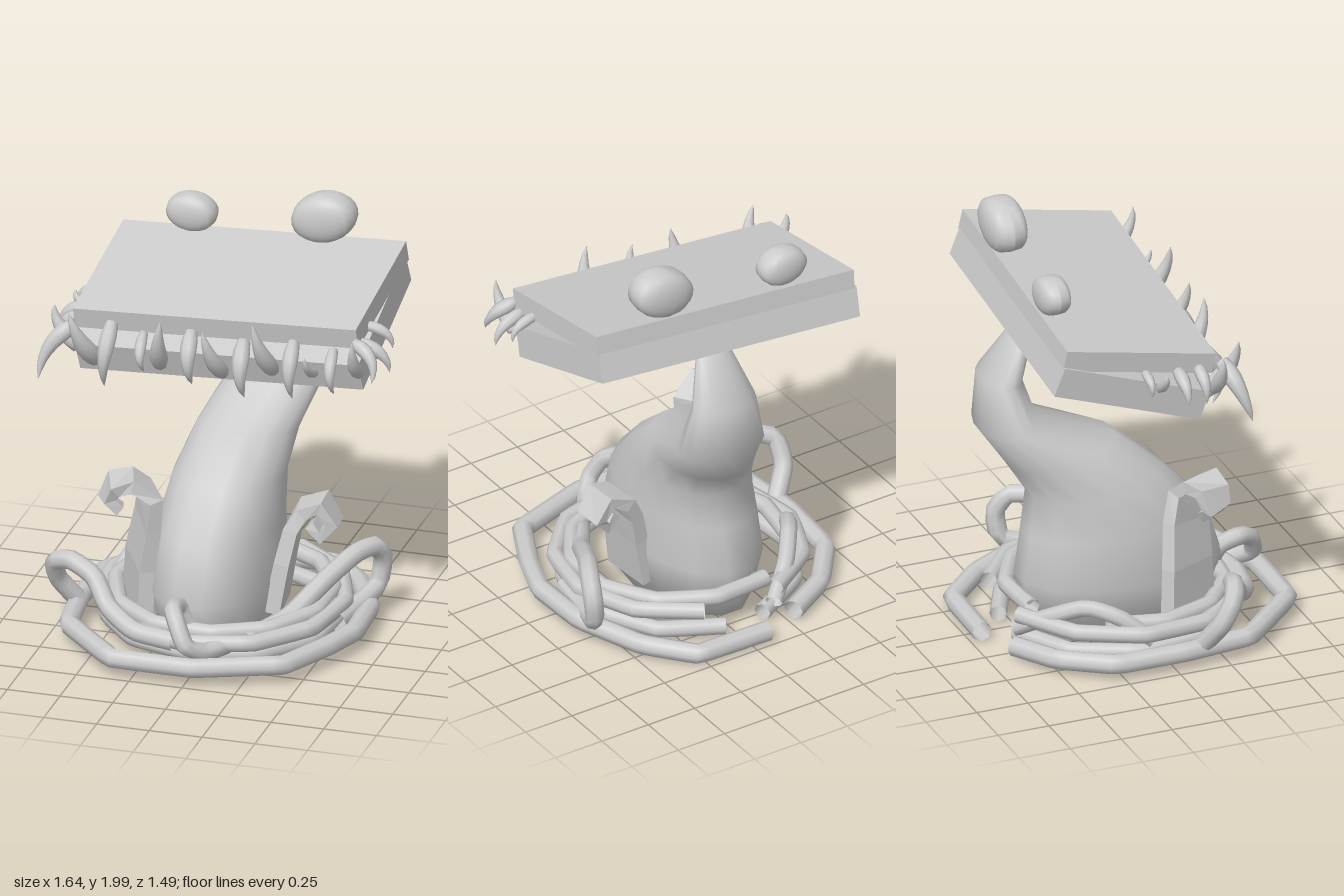
import * as THREE from 'three';

const V = (x, y, z) => new THREE.Vector3(x, y, z);
const smooth = new THREE.MeshStandardMaterial({ color: 0xcccccc, side: THREE.DoubleSide });
const faceted = new THREE.MeshStandardMaterial({ color: 0xcccccc, side: THREE.DoubleSide, flatShading: true });

// Skin over closed rings of points, both ends capped
function loft(rings) {
  const n = rings[0].length, pos = [], idx = [];
  const centre = ring => ring.reduce((s, p) => s.add(p), V(0, 0, 0)).divideScalar(n);
  const all = [rings[0].map(() => centre(rings[0])), ...rings, rings[0].map(() => centre(rings.at(-1)))];
  all.forEach(ring => ring.forEach(p => pos.push(p.x, p.y, p.z)));
  for (let i = 0; i < all.length - 1; i++) {
    for (let j = 0; j < n; j++) {
      const k = (j + 1) % n, a = i * n + j, b = i * n + k, c = a + n, d = b + n;
      idx.push(a, c, d, a, d, b);
    }
  }
  const g = new THREE.BufferGeometry();
  g.setAttribute('position', new THREE.Float32BufferAttribute(pos, 3));
  g.setIndex(idx);
  g.computeVertexNormals();
  return g;
}

// Sweep an elliptical or square section along points; size(t) gives [half width, half thickness]
function sweep(points, across, sides, size) {
  const last = points.length - 1;
  return loft(points.map((p, i) => {
    const T = points[Math.min(i + 1, last)].clone().sub(points[Math.max(i - 1, 0)]).normalize();
    const W = across.clone().addScaledVector(T, -across.dot(T)).normalize();
    const N = W.clone().cross(T);
    const [w, h] = size(i / last);
    return Array.from({ length: sides }, (_, j) => {
      const a = (j + 0.5) / sides * Math.PI * 2;
      return p.clone().addScaledVector(W, Math.cos(a) * w).addScaledVector(N, Math.sin(a) * h);
    });
  }));
}

export function createModel() {
  const model = new THREE.Group();
  const add = (name, geometry, material = smooth, parent = model) => {
    const m = new THREE.Mesh(geometry, material);
    m.name = name;
    parent.add(m);
    return m;
  };

  // Bent body: front z, front y, back z, back y, min x, max x of each ring
  const bodyRings = [
    [0.42, 0.03, -0.47, 0.03, -0.3, 0.2],
    [0.47, 0.26, -0.52, 0.28, -0.36, 0.23],
    [0.39, 0.53, -0.485, 0.5, -0.335, 0.22],
    [0.2, 0.73, -0.455, 0.68, -0.3, 0.215],
    [-0.04, 0.93, -0.54, 0.82, -0.24, 0.23],
    [-0.39, 1.05, -0.665, 1.01, -0.165, 0.275],
    [-0.465, 1.26, -0.65, 1.26, -0.11, 0.22],
    [-0.4, 1.49, -0.5, 1.47, -0.04, 0.13],
    [-0.42, 1.52, -0.46, 1.51, 0, 0.09],
  ].map(([fz, fy, bz, by, x0, x1]) => Array.from({ length: 14 }, (_, j) => {
    const a = j / 14 * Math.PI * 2, c = Math.cos(a), s = Math.sin(a);
    return V((x0 + x1) / 2 + c * (x1 - x0) / 2, (fy + by) / 2 + s * (fy - by) / 2, (fz + bz) / 2 + s * (fz - bz) / 2);
  }));
  add('body', loft(bodyRings));

  // Two slab jaws, opening towards the front
  const jaw = (name, thickness, depth, y, z, pitch) => {
    const m = add(name, new THREE.BoxGeometry(1.36, thickness, depth), faceted);
    m.position.set(0.005, y, z);
    m.rotation.set(pitch, -0.037, 0.066, 'YZX');
  };
  jaw('upperJaw', 0.1, 0.735, 1.625, -0.145, 0.19);
  jaw('lowerJaw', 0.145, 0.75, 1.472, -0.18, 0.335);

  // Eyes with flattened front and back, on the rear of the upper jaw
  const eyeShape = new THREE.SphereGeometry(1, 18, 12);
  const ep = eyeShape.attributes.position;
  for (let i = 0; i < ep.count; i++) ep.setZ(i, Math.sign(ep.getZ(i)) * Math.abs(ep.getZ(i)) ** 0.55);
  eyeShape.computeVertexNormals();
  const eye = (name, x, y, z, sx, sy, sz, roll) => {
    const m = add(name, eyeShape);
    m.position.set(x, y, z);
    m.scale.set(sx, sy, sz);
    m.rotation.z = roll;
  };
  eye('rightEye', -0.32, 1.815, -0.455, 0.12, 0.088, 0.075, -0.08);
  eye('leftEye', 0.315, 1.88, -0.43, 0.155, 0.114, 0.095, 0.25);

  // Curved fangs
  const teeth = new THREE.Group();
  teeth.name = 'teeth';
  model.add(teeth);
  const tooth = (base, tip, bulge, r) => {
    const mid = base.clone().lerp(tip, 0.45).add(bulge);
    const pts = new THREE.QuadraticBezierCurve3(base, mid, tip).getPoints(7);
    const across = tip.clone().sub(base).cross(bulge).normalize();
    add('tooth', sweep(pts, across, 8, t => {
      const s = r * Math.max(0.02, Math.min(1, 0.75 + t * 1.5) * Math.min(1, 1.25 * Math.sqrt(1 - t) * (1 - t * t * 0.4)));
      return [s, s];
    }), smooth, teeth);
  };
  // Front fangs: x at base, x at tip, base y, tip y, radius
  [
    [-0.58, -0.67, 1.32, 1.59, 0.045], [-0.27, -0.23, 1.34, 1.61, 0.042],
    [0.03, -0.03, 1.34, 1.59, 0.04], [0.27, 0.21, 1.39, 1.66, 0.042],
    [0.47, 0.46, 1.4, 1.53, 0.022], [0.68, 0.69, 1.43, 1.64, 0.033],
    [-0.5, -0.52, 1.51, 1.22, 0.038], [-0.35, -0.33, 1.48, 1.32, 0.026],
    [-0.12, -0.1, 1.52, 1.29, 0.038], [0.13, 0.15, 1.51, 1.26, 0.04],
    [0.37, 0.38, 1.54, 1.29, 0.036], [0.56, 0.58, 1.53, 1.34, 0.028],
  ].forEach(([x0, x1, y0, y1, r]) => {
    const up = y1 > y0, z = 0.037 * x0;
    tooth(V(x0, y0, z + 0.21), V(x1, y1, z + (up ? 0.34 : 0.27)), V(0, 0, up ? 0.08 : 0.14), r);
  });
  // Side fangs: side, z, base y, tip y, reach, radius
  [
    [-1, 0.24, 1.5, 1.25, 0.14, 0.042], [-1, 0.2, 1.37, 1.57, 0.1, 0.035],
    [-1, 0.12, 1.5, 1.36, 0.1, 0.03], [-1, 0.02, 1.5, 1.38, 0.13, 0.032],
    [-1, -0.07, 1.42, 1.53, 0.08, 0.024], [-1, -0.14, 1.52, 1.43, 0.08, 0.022],
    [1, 0.24, 1.58, 1.43, 0.1, 0.034], [1, 0.18, 1.56, 1.43, 0.14, 0.032],
    [1, 0.07, 1.6, 1.5, 0.12, 0.026],
  ].forEach(([s, z, y0, y1, reach, r]) =>
    tooth(V(s * 0.66, y0, z), V(s * (0.67 + reach), y1, z + (z > 0.2 ? 0.09 : 0)), V(s * 0.08, 0.03, 0), r));

  // Flat tapering tendrils with curled tips
  const tendril = (name, across, w0, w1, pts) =>
    add(name, sweep(pts.map(p => V(...p)), across, 4, t => [w0 + (w1 - w0) * t, 0.052 - 0.017 * t]), faceted);
  tendril('leftTendril', V(0.1, 0, 1), 0.18, 0.07, [
    [0.21, 0.12, -0.03], [0.25, 0.35, -0.04], [0.28, 0.5, -0.06], [0.32, 0.58, -0.08],
    [0.41, 0.62, -0.09], [0.465, 0.53, -0.09], [0.41, 0.47, -0.08], [0.36, 0.52, -0.08],
  ]);
  tendril('rightTendril', V(0.5, 0, 0.86), 0.22, 0.08, [
    [-0.38, 0.12, 0.19], [-0.37, 0.36, 0.19], [-0.33, 0.56, 0.2], [-0.31, 0.71, 0.22],
    [-0.39, 0.77, 0.25], [-0.47, 0.75, 0.27], [-0.5, 0.68, 0.28], [-0.44, 0.63, 0.27],
  ]);

  // Vines: angular coils lying around the base
  const vine = (name, r, tension, pts, segments) =>
    add(name, new THREE.TubeGeometry(
      new THREE.CatmullRomCurve3(pts.map(p => V(...p)), false, 'catmullrom', tension), segments, r, 8));
  vine('outerCoil', 0.047, 0.04, [
    [-0.09, 0.05, -0.7], [0.28, 0.05, -0.69], [0.46, 0.06, -0.5], [0.6, 0.08, -0.2], [0.62, 0.09, 0.1],
    [0.55, 0.09, 0.3], [0.42, 0.09, 0.56], [0.03, 0.08, 0.695], [-0.35, 0.08, 0.69], [-0.65, 0.08, 0.38],
    [-0.69, 0.08, 0.05], [-0.67, 0.07, -0.28], [-0.5, 0.06, -0.5], [-0.28, 0.05, -0.62],
  ], 90);
  const ring = (name, r, rx, rz, y0, y1, start, turn) => {
    const pts = Array.from({ length: 11 }, (_, i) => {
      const a = start + turn * i / 10;
      return [-0.04 + rx * Math.cos(a), y0 + (y1 - y0) * (1 - Math.sin(a)) / 2, -0.03 + rz * Math.sin(a)];
    });
    vine(name, r, 0.1, pts, 60);
  };
  ring('middleCoil', 0.04, 0.56, 0.57, 0.13, 0.17, -1.2, 5.6);
  ring('innerCoil', 0.04, 0.5, 0.5, 0.16, 0.19, -1.9, 5.5);
  ring('lowCoil', 0.04, 0.53, 0.54, 0.07, 0.05, -1.4, 5.9);

  // Vine loops arching up out of the coils
  vine('frontArch', 0.042, 0.3, [
    [-0.04, 0.14, 0.42], [-0.1, 0.27, 0.46], [-0.1, 0.3, 0.56], [-0.06, 0.26, 0.63],
    [-0.01, 0.17, 0.66], [0.06, 0.12, 0.59], [0.14, 0.12, 0.46],
  ], 24);
  vine('rightArch', 0.045, 0.3, [
    [-0.68, 0.1, 0.14], [-0.755, 0.22, 0.2], [-0.75, 0.33, 0.26], [-0.66, 0.36, 0.3],
    [-0.54, 0.31, 0.34], [-0.45, 0.2, 0.41], [-0.3, 0.14, 0.5], [-0.1, 0.13, 0.54],
  ], 28);
  vine('leftArch', 0.045, 0.3, [
    [0.2, 0.13, 0.42], [0.34, 0.17, 0.2], [0.45, 0.28, 0], [0.54, 0.35, -0.17],
    [0.6, 0.35, -0.28], [0.62, 0.27, -0.34], [0.6, 0.14, -0.32], [0.55, 0.1, -0.15], [0.52, 0.1, 0.05],
  ], 28);
  vine('backArch', 0.04, 0.3, [
    [-0.2, 0.1, -0.58], [-0.34, 0.2, -0.46], [-0.44, 0.26, -0.33], [-0.52, 0.22, -0.2], [-0.57, 0.11, -0.06],
  ], 16);
  return model;
}
